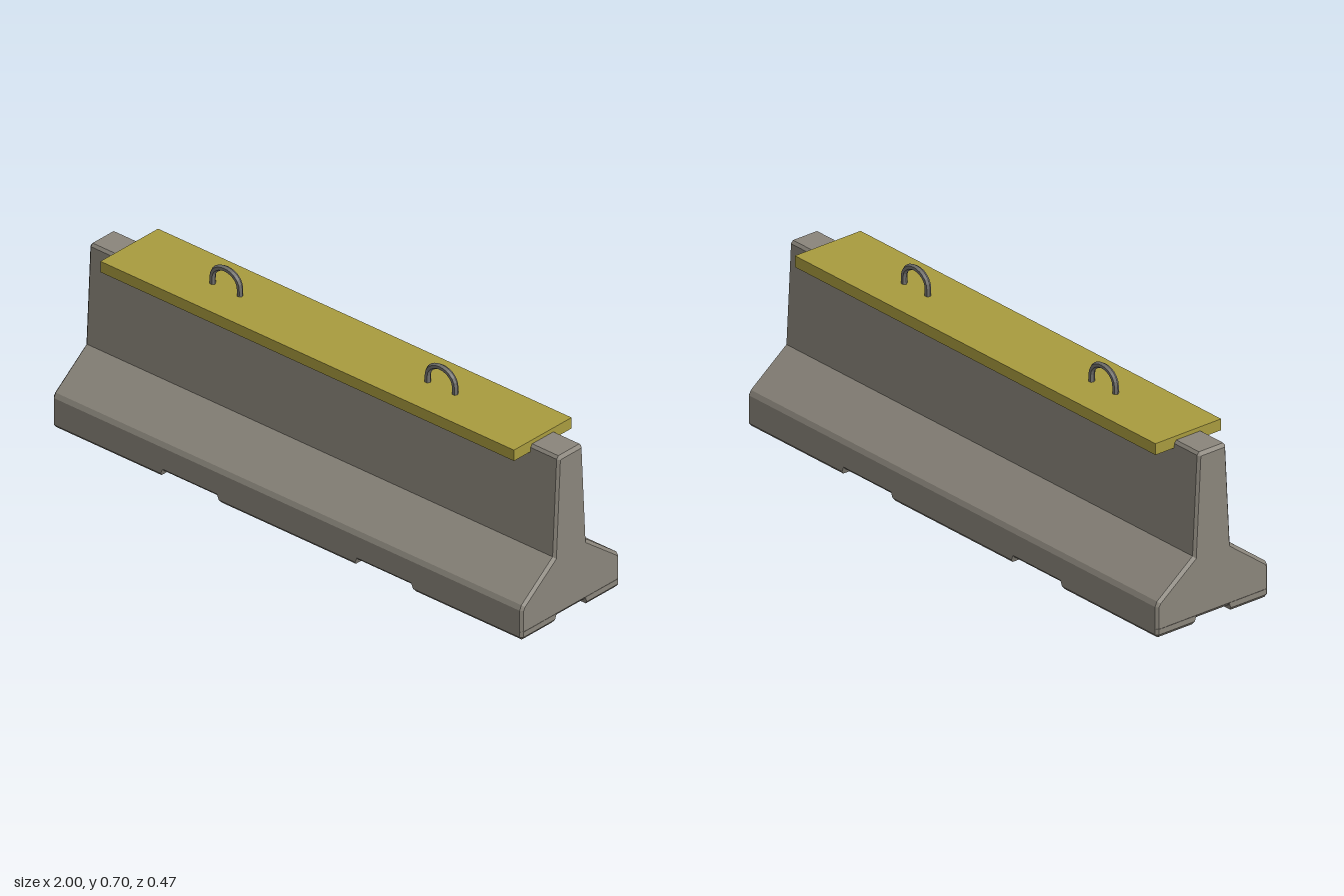
import * as THREE from 'three';

// Joins equal-length 2D rings stacked along z, capped at both ends, with flat facets
function loft(rings, levels) {
  const pos = [];
  const R = rings.map((ring) => {
    const pts = ring.map(([x, y]) => new THREE.Vector2(x, y));
    return THREE.ShapeUtils.isClockWise(pts) ? pts.reverse() : pts;
  });
  const put = (k, i) => pos.push(R[k][i].x, R[k][i].y, levels[k]);
  const n = R[0].length;
  for (let k = 0; k < R.length - 1; k++) {
    for (let i = 0; i < n; i++) {
      const j = (i + 1) % n;
      put(k, i); put(k, j); put(k + 1, j);
      put(k, i); put(k + 1, j); put(k + 1, i);
    }
  }
  const last = R.length - 1;
  for (const [a, b, c] of THREE.ShapeUtils.triangulateShape(R[0], [])) {
    put(0, c); put(0, b); put(0, a);
  }
  for (const [a, b, c] of THREE.ShapeUtils.triangulateShape(R[last], [])) {
    put(last, a); put(last, b); put(last, c);
  }
  const g = new THREE.BufferGeometry();
  g.setAttribute('position', new THREE.Float32BufferAttribute(pos, 3));
  g.computeVertexNormals();
  return g;
}

// Mirrors a half profile to make a closed outline
const mirrored = (half) => [...half, ...half.map(([z, y]) => [-z, y]).reverse()];

export function createModel() {
  const model = new THREE.Group();
  const concrete = new THREE.MeshStandardMaterial({ name: 'concrete', color: 0x8a857b });
  const plankYellow = new THREE.MeshStandardMaterial({ name: 'plankYellow', color: 0xa89b3e });
  const steel = new THREE.MeshStandardMaterial({ name: 'steel', color: 0x72716d });

  const add = (name, geometry, material, parent = model) => {
    const mesh = new THREE.Mesh(geometry, material);
    mesh.name = name;
    parent.add(mesh);
    return mesh;
  };

  // Barrier body: flared profile with bevelled ends
  const full = mirrored([[0.223, 0.02], [0.233, 0.031], [0.233, 0.11], [0.225, 0.127],
    [0.077, 0.24], [0.058, 0.59], [0.05, 0.6]]);
  const inset = mirrored([[0.218, 0.032], [0.224, 0.034], [0.224, 0.109], [0.217, 0.12],
    [0.069, 0.232], [0.05, 0.586], [0.048, 0.588]]);
  const body = loft([inset, full, full, inset], [-1, -0.991, 0.991, 1]);
  body.rotateY(Math.PI / 2);
  add('barrierBody', body, concrete);

  // Six feet, left between the lengthwise and crosswise channels
  const feet = new THREE.Group();
  feet.name = 'feet';
  model.add(feet);
  const footLevels = [0, 0.012, 0.031];
  const zIn = [0.08, 0.075, 0.068];
  const zOut = [0.223, 0.233, 0.233];
  for (const side of [-1, 1]) {
    const middle = footLevels.map((_, k) => {
      const x = [0.285, 0.29, 0.298][k];
      return [[-x, side * zIn[k]], [x, side * zIn[k]], [x, side * zOut[k]], [-x, side * zOut[k]]];
    });
    add('middleFoot', loft(middle, footLevels).rotateX(-Math.PI / 2), concrete, feet);
    for (const end of [-1, 1]) {
      const ring = footLevels.map((_, k) => {
        const x0 = [0.542, 0.537, 0.529][k];
        const x1 = [0.991, 1, 1][k];
        const cut = [0.002, 0.009, 0.009][k];
        return [[x0, zIn[k]], [x1, zIn[k]], [x1, zOut[k] - cut], [x1 - cut, zOut[k]], [x0, zOut[k]]]
          .map(([x, z]) => [end * x, side * z]);
      });
      add('endFoot', loft(ring, footLevels).rotateX(-Math.PI / 2), concrete, feet);
    }
  }

  // Plank lying across the top
  add('topPlank', new THREE.BoxGeometry(1.76, 0.04, 0.273), plankYellow).position.set(0, 0.5945, 0);

  // Lifting loops: six-sided bar bent into an arch
  const path = [[-0.058, 0.585], [-0.058, 0.615]];
  for (let i = 0; i <= 8; i++) {
    const a = Math.PI * (1 - i / 8);
    path.push([0.058 * Math.cos(a), 0.6415 + 0.048 * Math.sin(a)]);
  }
  path.push([0.058, 0.615], [0.058, 0.585]);
  const curve = new THREE.CatmullRomCurve3(path.map(([x, y]) => new THREE.Vector3(x, y, 0)));
  const section = new THREE.Shape();
  for (let i = 0; i < 6; i++) {
    const a = Math.PI / 2 + (i * Math.PI) / 3;
    section[i ? 'lineTo' : 'moveTo'](0.0105 * Math.cos(a), 0.0105 * Math.sin(a));
  }
  const loop = new THREE.ExtrudeGeometry(section, { extrudePath: curve, steps: 20 });
  for (const x of [-0.467, 0.449]) add('liftingLoop', loop, steel).position.x = x;

  return model;
}
